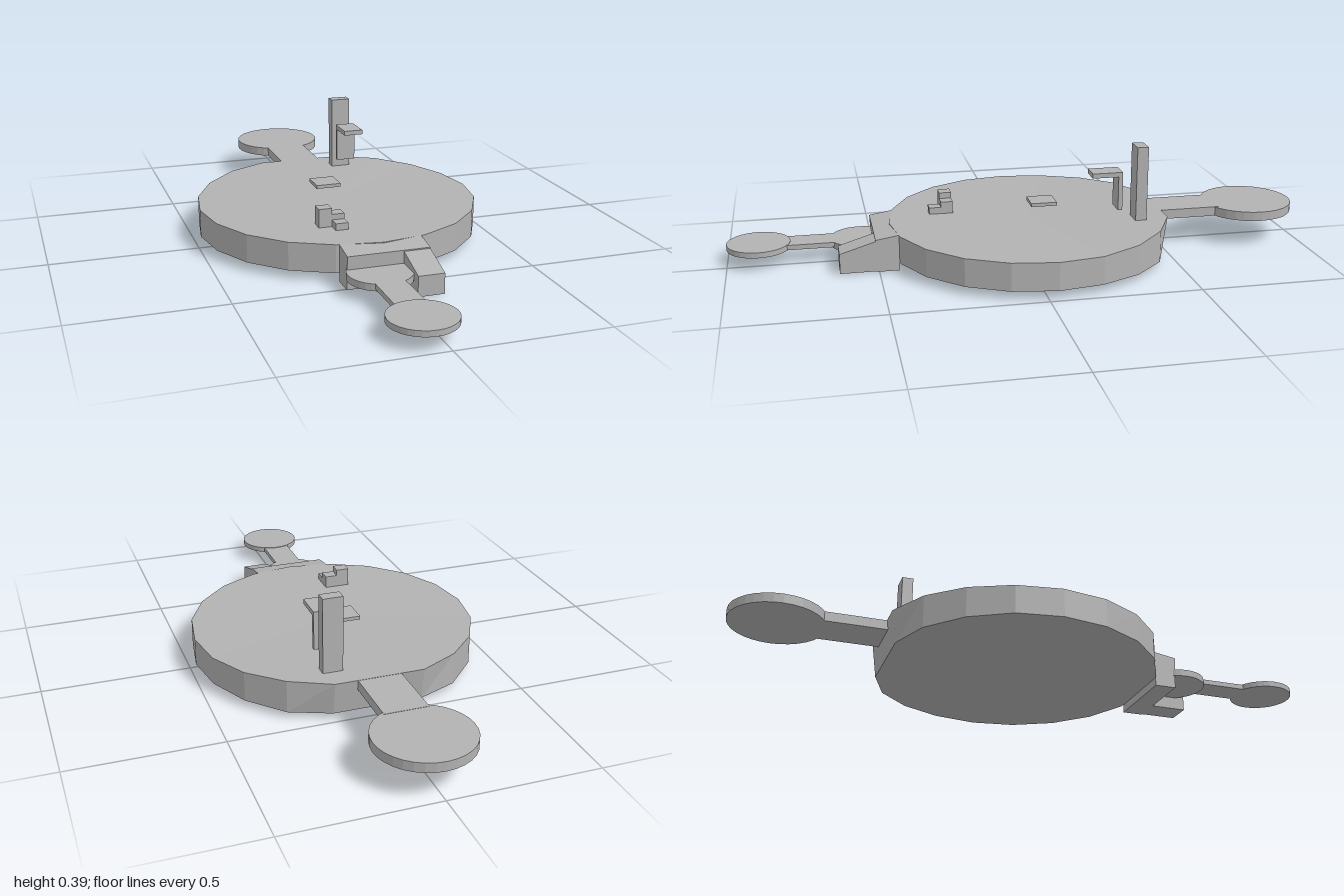
import * as THREE from 'three';

export function createModel() {
  const model = new THREE.Group();
  const grey = new THREE.MeshStandardMaterial({ color: 0xb2b2b2, flatShading: true });
  grey.name = 'plain grey';

  const add = (name, geometry, x = 0, y = 0, z = 0, parent = model) => {
    const mesh = new THREE.Mesh(geometry, grey);
    mesh.name = name;
    mesh.position.set(x, y, z);
    parent.add(mesh);
    return mesh;
  };
  // Box given by its limits on each axis
  const box = (name, [x0, x1], [y0, y1], [z0, z1], parent) =>
    add(name, new THREE.BoxGeometry(x1 - x0, y1 - y0, z1 - z0),
      (x0 + x1) / 2, (y0 + y1) / 2, (z0 + z1) / 2, parent);
  // Round slab given by its centre, radius and height limits
  const slab = (name, x, z, r, y0, y1, parent) =>
    add(name, new THREE.CylinderGeometry(r, r, y1 - y0, 32), x, (y0 + y1) / 2, z, parent);
  // Side outline in (z, y), extruded across x
  const profile = (name, points, x0, x1, parent) => {
    const shape = new THREE.Shape(points.map(([z, y]) => new THREE.Vector2(-z, y)));
    const g = new THREE.ExtrudeGeometry(shape, { depth: x1 - x0, bevelEnabled: false });
    g.rotateY(Math.PI / 2);
    return add(name, g, x0, 0, 0, parent);
  };
  const group = (name) => {
    const g = new THREE.Group();
    g.name = name;
    model.add(g);
    return g;
  };

  // Main disc: twenty sides, thickening and flattened towards the back
  const disc = new THREE.CylinderGeometry(0.486, 0.486, 0.095, 20);
  disc.translate(0, 0.0775, -0.033);
  const p = disc.attributes.position;
  for (let i = 0; i < p.count; i++) {
    const top = p.getY(i) > 0.07;
    const rise = THREE.MathUtils.smoothstep(-p.getZ(i), 0.2, 0.48);
    p.setY(i, p.getY(i) + rise * (top ? 0.009 : -0.008));
    p.setZ(i, Math.max(p.getZ(i), top ? -0.495 : -0.48));
  }
  disc.computeVertexNormals();
  add('mainDisc', disc);

  // Back arm ending in a round platform
  const back = group('backArm');
  box('backNeck', [-0.072, 0.074], [0.1, 0.133], [-0.71, -0.46], back);
  slab('backPlatform', 0.002, -0.84, 0.16, 0.1, 0.132, back);

  // Front block and its sloping ramp
  const entry = group('frontBlock');
  profile('block', [[0.36, 0.03], [0.432, 0.03], [0.432, 0.002], [0.505, 0.002],
    [0.51, 0.113], [0.435, 0.125], [0.36, 0.125]], -0.14, 0.134, entry);
  profile('ramp', [[0.5, 0.004], [0.63, 0.004], [0.63, 0.072], [0.5, 0.112]], 0.046, 0.134, entry);

  // Front arm: round landing, neck and round platform
  const front = group('frontArm');
  slab('frontLanding', -0.047, 0.547, 0.105, 0.046, 0.069, front);
  box('frontNeck', [-0.095, 0.001], [0.052, 0.069], [0.6, 0.82], front);
  slab('frontPlatform', -0.047, 0.893, 0.107, 0.052, 0.071, front);

  // Tall pillar and hanging bracket
  box('pillar', [0.095, 0.163], [0.125, 0.39], [-0.415, -0.376]);
  profile('bracket', [[-0.327, 0.174], [-0.312, 0.174], [-0.312, 0.291],
    [-0.222, 0.291], [-0.222, 0.307], [-0.327, 0.307]], 0.095, 0.163);

  // Raised square plate near the centre
  box('centrePlate', [-0.068, 0.02], [0.157, 0.169], [-0.133, -0.042]);

  // Cluster of three steps
  const steps = group('steps');
  box('tallStep', [-0.155, -0.11], [0.12, 0.188], [0.222, 0.264], steps);
  box('middleStep', [-0.11, -0.068], [0.12, 0.167], [0.222, 0.264], steps);
  box('lowStep', [-0.11, -0.068], [0.12, 0.148], [0.264, 0.305], steps);

  return model;
}
